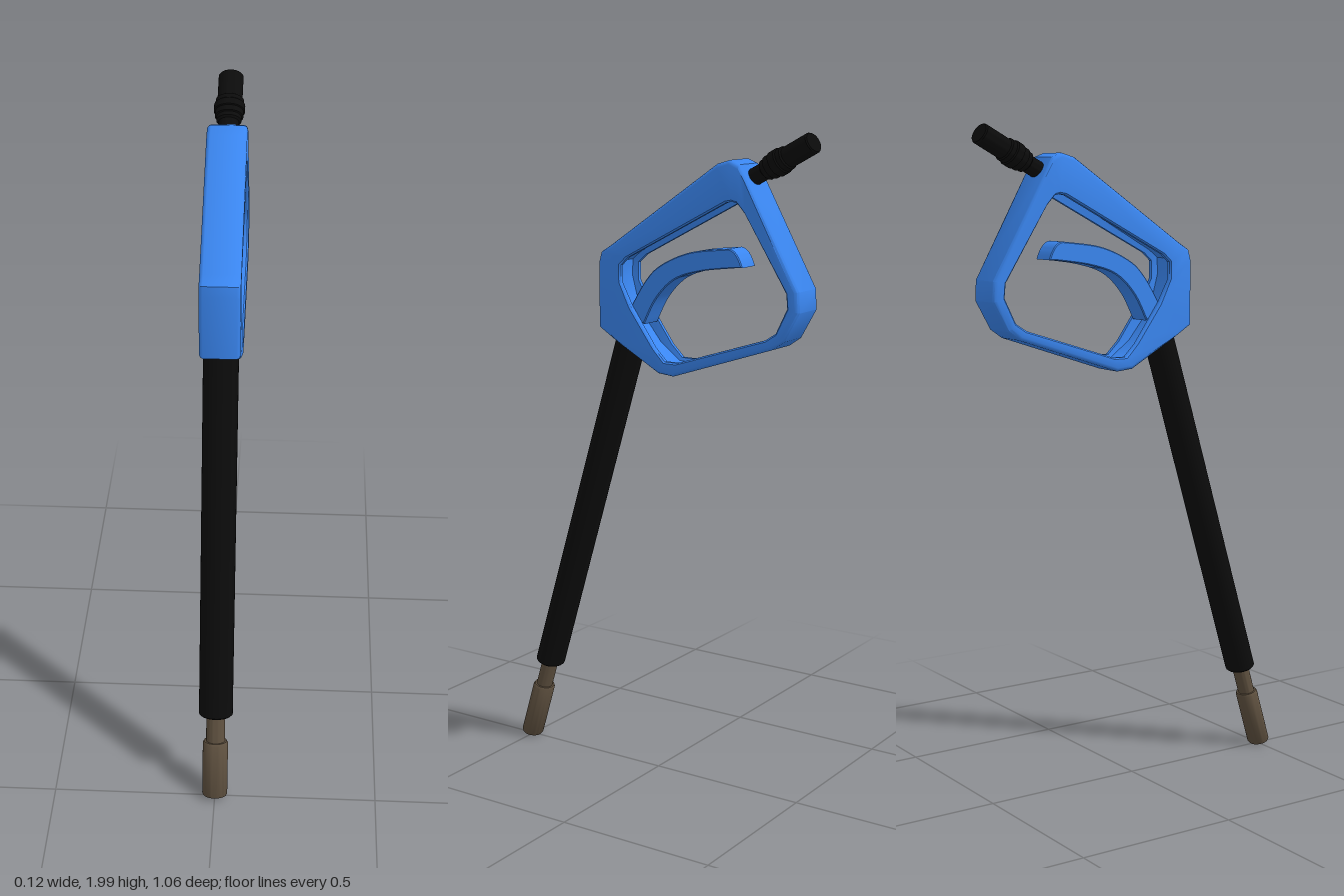
import * as THREE from 'three';
import { toCreasedNormals } from 'three/addons/utils/BufferGeometryUtils.js';

const blue = new THREE.MeshStandardMaterial({ color: 0x3a86f0 });
const black = new THREE.MeshStandardMaterial({ color: 0x0b0b0b });
const bronze = new THREE.MeshStandardMaterial({ color: 0x5e503f });

function addMesh(parent, name, geometry, material) {
  const mesh = new THREE.Mesh(geometry, material);
  mesh.name = name;
  parent.add(mesh);
  return mesh;
}

// Turned part along a tilted axis; profile is [radius, distance], slightly oval
function turned(parent, name, profile, material, [y, z], angle) {
  const pts = profile.map(([r, d]) => new THREE.Vector2(r, d));
  const geo = toCreasedNormals(new THREE.LatheGeometry(pts, 32), 0.6);
  geo.scale(1, 1, 0.84);
  const mesh = addMesh(parent, name, geo, material);
  mesh.position.set(0, y, z);
  mesh.rotation.x = angle;
}

// Ring of handle stations: outer [z, y] paired with inner [z, y]
const stations = [
  [0.18, 1.407, 0.063, 1.476], [0.18, 1.605, 0.10, 1.545],
  [0.172, 1.635, 0.10, 1.60], [0.138, 1.656, 0.074, 1.624],
  [-0.233, 1.908, -0.265, 1.80], [-0.275, 1.92, -0.285, 1.804],
  [-0.307, 1.908, -0.302, 1.80], [-0.33, 1.87, -0.328, 1.772],
  [-0.505, 1.562, -0.466, 1.556], [-0.508, 1.503, -0.47, 1.513],
  [-0.46, 1.418, -0.434, 1.44], [-0.423, 1.392, -0.40, 1.418],
  [-0.085, 1.281, -0.10, 1.323], [-0.032, 1.286, -0.058, 1.323],
  [0.12, 1.372, -0.02, 1.36],
];

// Sweeps a bevelled section with a shallow inner channel around the ring
function handleGeometry() {
  const pos = [], index = [];
  const count = 12, n = stations.length;
  for (const [oz, oy, iz, iy] of stations) {
    const len = Math.hypot(iz - oz, iy - oy);
    const half = [
      [0, 0.048], [0.004, 0.055], [0.012, 0.059],
      [len - 0.005, 0.058], [len, 0.053], [len, 0.041],
    ];
    const floor = [[len * 0.75, 0.037]];
    const right = [...half, ...floor];
    const left = right.map(([d, x]) => [d, -x]).reverse();
    for (const [d, x] of [...right, ...left]) {
      const t = d / len;
      pos.push(x, oy + (iy - oy) * t, oz + (iz - oz) * t);
    }
  }
  const ring = pos.length / 3 / n;
  for (let k = 0; k < n; k++) {
    const k2 = (k + 1) % n;
    for (let i = 0; i < ring; i++) {
      const j = (i + 1) % ring;
      const a = k * ring + i, b = k * ring + j;
      const c = k2 * ring + j, d = k2 * ring + i;
      index.push(a, b, c, a, c, d);
    }
  }
  const geo = new THREE.BufferGeometry();
  geo.setAttribute('position', new THREE.Float32BufferAttribute(pos, 3));
  geo.setIndex(index);
  return toCreasedNormals(geo, 0.65);
}

// Curved trigger blade, drawn with -z to the right
function triggerGeometry() {
  const v = (x, y) => new THREE.Vector2(x, y);
  const s = new THREE.Shape();
  s.moveTo(-0.075, 1.47);
  s.splineThru([v(-0.02, 1.555), v(0.035, 1.605), v(0.135, 1.647), v(0.265, 1.665)]);
  s.quadraticCurveTo(0.29, 1.664, 0.307, 1.618);
  s.lineTo(0.285, 1.617);
  s.splineThru([v(0.17, 1.6), v(0.08, 1.57), v(0.015, 1.51), v(-0.03, 1.43)]);
  s.closePath();
  const geo = new THREE.ExtrudeGeometry(s, {
    depth: 0.07, bevelEnabled: true, bevelSize: 0.003, bevelThickness: 0.003,
    bevelSegments: 1, curveSegments: 10,
  });
  geo.translate(0, 0, -0.035);
  geo.rotateY(Math.PI / 2);
  return toCreasedNormals(geo, 0.6);
}

export function createModel() {
  const model = new THREE.Group();
  model.name = 'sprayGun';

  addMesh(model, 'handleFrame', handleGeometry(), blue);
  addMesh(model, 'trigger', triggerGeometry(), blue);

  // Lance parts share one tilted axis starting at the nozzle tip
  const tip = [0.018, 0.504];
  const tilt = Math.atan2(-0.288, 0.958);
  turned(model, 'nozzle', [
    [0, 0.03], [0.022, 0.03], [0.027, 0], [0.036, 0], [0.039, 0.005],
    [0.039, 0.178], [0.035, 0.185], [0, 0.185],
  ], bronze, tip, tilt);
  turned(model, 'nozzleStem', [[0, 0.18], [0.029, 0.18], [0.029, 0.3], [0, 0.3]], bronze, tip, tilt);
  turned(model, 'lanceSleeve', [
    [0, 0.274], [0.048, 0.274], [0.052, 0.278], [0.052, 1.43], [0, 1.43],
  ], black, tip, tilt);

  // Hose connector with stepped collar at the rear
  turned(model, 'hoseConnector', [
    [0, -0.02], [0.03, -0.02], [0.03, 0.04], [0.037, 0.045], [0.037, 0.058],
    [0.042, 0.06], [0.042, 0.078], [0.046, 0.08], [0.046, 0.102],
    [0.042, 0.106], [0.042, 0.12], [0.037, 0.124], [0.037, 0.21],
    [0.034, 0.214], [0, 0.214],
  ], black, [1.872, -0.327], Math.atan2(-0.88, 0.475));

  return model;
}
